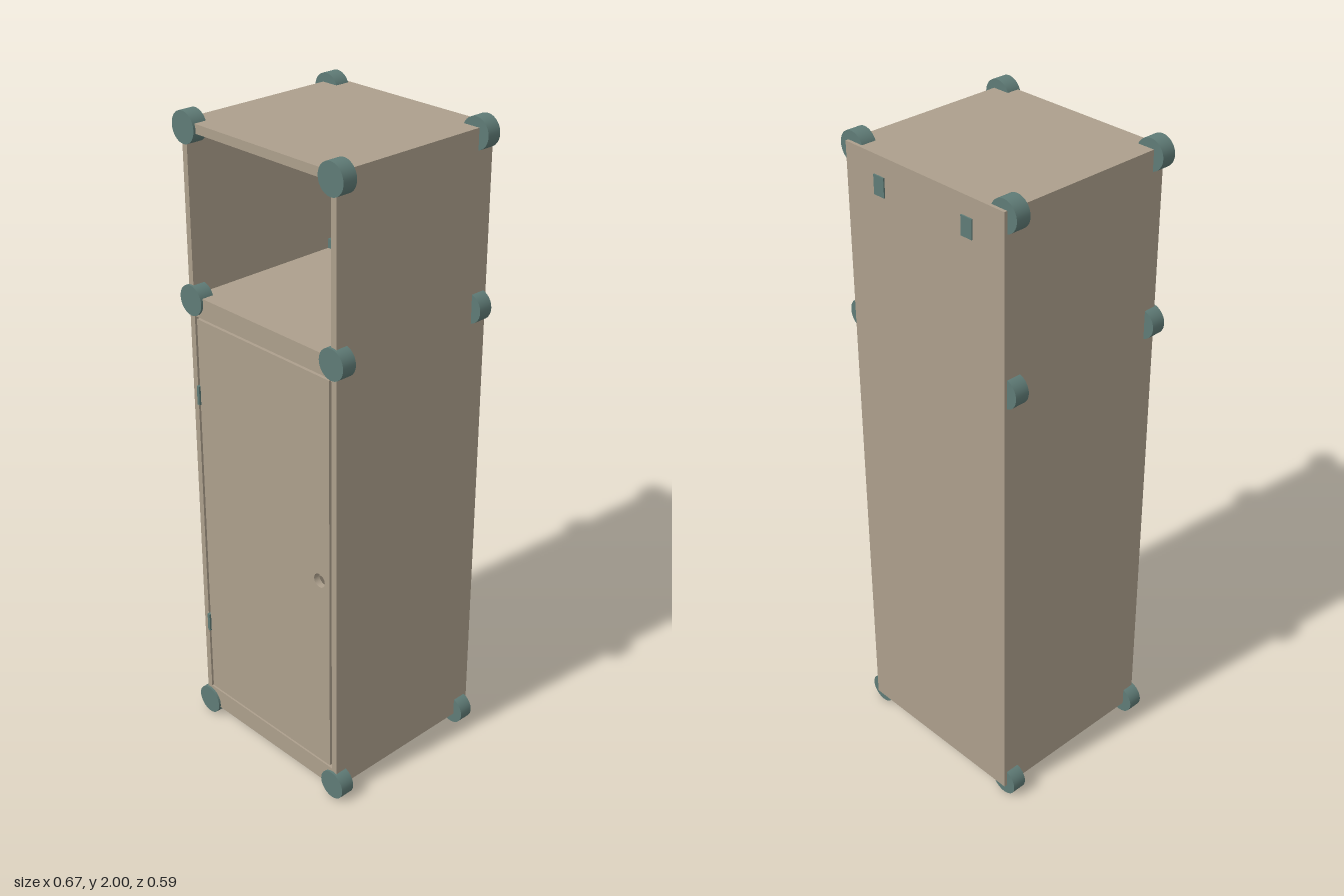
import * as THREE from 'three';

export function createModel() {
  const root = new THREE.Group();
  const panel = new THREE.MeshStandardMaterial({ color: 0xac9f8c });
  panel.name = 'tan panel';
  const fitting = new THREE.MeshStandardMaterial({ color: 0x5f7b76 });
  fitting.name = 'teal fitting';

  // Box given by its minimum and maximum on each axis
  function slab(name, x0, x1, y0, y1, z0, z1, material = panel) {
    const mesh = new THREE.Mesh(new THREE.BoxGeometry(x1 - x0, y1 - y0, z1 - z0), material);
    mesh.position.set((x0 + x1) / 2, (y0 + y1) / 2, (z0 + z1) / 2);
    mesh.name = name;
    root.add(mesh);
  }

  // Carcass
  const inner = 0.281, back = -0.282, front = 0.285;
  slab('leftSide', inner, 0.3, 0.035, 1.972, back, front);
  slab('rightSide', -0.3, -inner, 0.035, 1.972, back, front);
  slab('backPanel', -0.3, 0.3, 0.035, 1.972, -0.291, back);
  slab('topPanel', -inner, inner, 1.945, 1.972, back, front);
  slab('bottomPanel', -inner, inner, 0.035, 0.06, back, front - 0.02);
  slab('plinth', -inner, inner, 0.035, 0.101, front - 0.02, front);
  slab('openShelf', -inner, inner, 1.442, 1.468, back, front - 0.02);
  slab('shelfRail', -inner, inner, 1.405, 1.468, front - 0.02, front);
  slab('innerShelf', -inner, inner, 0.728, 0.752, back, 0.24);

  // Door with a round finger hole
  const outline = new THREE.Shape();
  outline.moveTo(-0.272, 0.108);
  outline.lineTo(0.272, 0.108);
  outline.lineTo(0.272, 1.398);
  outline.lineTo(-0.272, 1.398);
  outline.closePath();
  const hole = new THREE.Path();
  hole.absarc(0.231, 0.753, 0.022, 0, Math.PI * 2, true);
  outline.holes.push(hole);
  const doorGeometry = new THREE.ExtrudeGeometry(outline, { depth: 0.02, bevelEnabled: false, curveSegments: 24 });
  const door = new THREE.Mesh(doorGeometry, panel);
  door.position.z = front - 0.02;
  door.name = 'door';
  root.add(door);

  // Door hinges
  for (const y of [0.355, 1.155]) {
    slab('hinge', -0.28, -0.27, y - 0.03, y + 0.03, 0.265, 0.291, fitting);
  }

  // Hanging plates on the back, with a thin tab through the panel
  for (const x of [-0.167, 0.167]) {
    slab('hangingPlate', x - 0.02, x + 0.02, 1.858, 1.915, -0.295, -0.29, fitting);
    slab('hangingTab', x - 0.02, x + 0.02, 1.858, 1.862, -0.292, -0.279, fitting);
  }

  // Round corner connectors at three levels
  const disc = new THREE.CylinderGeometry(0.046, 0.046, 0.046, 40).rotateX(Math.PI / 2);
  for (const y of [0.046, 1.452, 1.954]) {
    for (const x of [-0.287, 0.287]) {
      for (const z of [-0.258, 0.269]) {
        const connector = new THREE.Mesh(disc, fitting);
        connector.position.set(x, y, z);
        connector.name = 'cornerConnector';
        root.add(connector);
      }
    }
  }
  return root;
}
